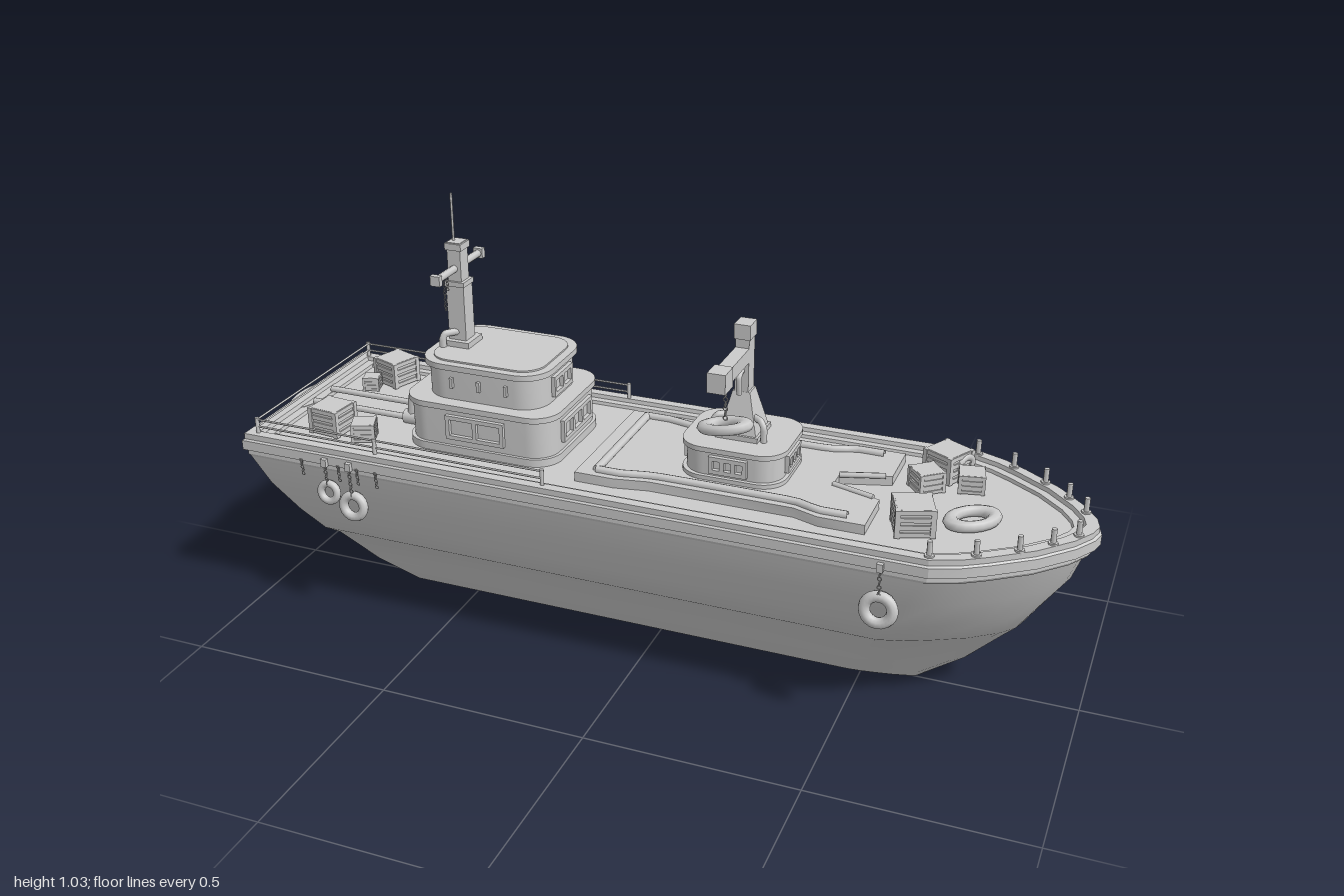
import * as THREE from 'three';
import { toCreasedNormals, mergeVertices } from 'three/addons/utils/BufferGeometryUtils.js';

const mat = new THREE.MeshStandardMaterial({ color: 0xcccccc, side: THREE.DoubleSide });
const V = (x, y, z) => new THREE.Vector3(x, y, z);

function add(parent, name, geo, x = 0, y = 0, z = 0, ry = 0) {
  const m = new THREE.Mesh(geo, mat);
  m.name = name;
  m.position.set(x, y, z);
  m.rotation.y = ry;
  parent.add(m);
  return m;
}
const box = (p, n, w, h, d, x, y, z, ry) => add(p, n, new THREE.BoxGeometry(w, h, d), x, y, z, ry);

// Round bar between two points
function bar(p, name, a, b, r, seg = 8) {
  const m = add(p, name, new THREE.CylinderGeometry(r, r, a.distanceTo(b), seg));
  m.position.copy(a).lerp(b, 0.5);
  m.quaternion.setFromUnitVectors(V(0, 1, 0), b.clone().sub(a).normalize());
  return m;
}
function pipe(p, name, pts, r) {
  return add(p, name, new THREE.TubeGeometry(new THREE.CatmullRomCurve3(pts, false, 'catmullrom', 0.2), 20, r, 8));
}

// Plan outline of the ship: square stern, straight sides, curved bow
const BOW = [[0, 1], [0.2, 0.91], [0.37, 0.79], [0.65, 0.56], [0.87, 0.3], [0.97, 0.12], [1, 0]];
function outline(y, w, stern, start, tip) {
  const side = [[stern, w], [(stern + start) / 2, w], ...BOW.map(([u, f]) => [start + u * (tip - start), w * f])];
  const other = side.slice(0, -1).reverse().map(([x, z]) => [x, -z]);
  return [...side, ...other].map(([x, z]) => V(x, y, z));
}
// Skin a stack of outlines, closing both ends
function loft(rings, crease) {
  const n = rings[0].length, pos = [], idx = [];
  rings.flat().forEach(v => pos.push(v.x, v.y, v.z));
  for (let k = 0; k < rings.length - 1; k++)
    for (let i = 0; i < n; i++) {
      const a = k * n + i, b = k * n + (i + 1) % n;
      idx.push(a, b, b + n, a, b + n, a + n);
    }
  const top = (rings.length - 1) * n;
  for (let i = 1; i < n - 1; i++) idx.push(0, i + 1, i, top, top + i, top + i + 1);
  const g = new THREE.BufferGeometry();
  g.setAttribute('position', new THREE.Float32BufferAttribute(pos, 3));
  g.setIndex(idx);
  return toCreasedNormals(g, crease);
}

function roundRect(w, d, r) {
  const s = new THREE.Shape(), a = w / 2 - r, b = d / 2 - r, q = Math.PI / 2;
  [[a, b], [-a, b], [-a, -b], [a, -b]].forEach(([x, y], i) => s.absarc(x, y, r, i * q, (i + 1) * q));
  return s;
}
// Upright slab from a plan shape
function slab(p, name, shape, h, x, y, z = 0) {
  const g = new THREE.ExtrudeGeometry(shape, { depth: h, bevelEnabled: false, curveSegments: 5 });
  g.rotateX(-Math.PI / 2);
  return add(p, name, toCreasedNormals(g, 0.5), x, y, z);
}
// Raised window frame with panes, facing local +z
function windowFrame(p, w, h, panes, x, y, z, ry) {
  const g = new THREE.Group();
  g.name = 'window';
  const s = new THREE.Shape([[-w, -h], [w, -h], [w, h], [-w, h]].map(([a, b]) => new THREE.Vector2(a / 2, b / 2)));
  const gap = 0.01, pw = (w - gap * (panes + 1)) / panes;
  for (let i = 0; i < panes; i++) {
    const x0 = -w / 2 + gap + i * (pw + gap), y0 = h / 2 - gap;
    s.holes.push(new THREE.Path([[x0, -y0], [x0, y0], [x0 + pw, y0], [x0 + pw, -y0]].map(q => new THREE.Vector2(...q))));
  }
  add(g, 'windowFrame', new THREE.ExtrudeGeometry(s, { depth: 0.01, bevelEnabled: false }));
  g.position.set(x, y, z);
  g.rotation.y = ry;
  p.add(g);
}
function chain(p, a, b, r = 0.005) {
  const n = Math.ceil(a.distanceTo(b) / (r * 2.4));
  for (let i = 0; i < n; i++) {
    const m = add(p, 'chainLink', new THREE.TorusGeometry(r, r * 0.3, 4, 8), 0, 0, 0, i % 2 ? Math.PI / 2 : 0);
    m.position.copy(a).lerp(b, (i + 0.5) / n);
  }
}
// Slatted cargo crate
function crate(p, x, z, s, h, ry) {
  const g = new THREE.Group();
  g.name = 'crate';
  box(g, 'crateCore', s * 0.92, h, s * 0.92, 0, h / 2, 0);
  for (let i = 0; i < 4; i++) box(g, 'crateSlat', s, h * 0.16, s, 0, h * (0.1 + i * 0.27), 0);
  for (const a of [-1, 1]) for (const b of [-1, 1])
    box(g, 'cratePost', s * 0.14, h, s * 0.14, a * s * 0.45, h / 2, b * s * 0.45);
  g.position.set(x, 0.45, z);
  g.rotation.y = ry;
  p.add(g);
}

export function createModel() {
  const root = new THREE.Group(), ship = new THREE.Group();
  root.name = 'cargoShip';
  ship.name = 'ship';
  ship.position.z = -0.007;
  root.add(ship);

  // Hull: height, half width, stern x, bow tip x
  const levels = [[0, 0.035, -0.67, 0.63], [0.08, 0.1, -0.745, 0.74], [0.165, 0.148, -0.82, 0.825],
    [0.19, 0.18, -0.84, 0.85], [0.25, 0.212, -0.885, 0.89], [0.33, 0.247, -0.935, 0.945], [0.41, 0.266, -0.975, 0.973]];
  add(ship, 'hull', loft(levels.map(([y, w, s, t]) => outline(y, w, s, 0.47 + y * 0.5, t)), 0.45));

  // Rubbing strake, bulwark and recessed deck
  const rim = [[0.405, 0.266, 0.015], [0.412, 0.27, 0.01], [0.424, 0.27, 0.01], [0.424, 0.276, 0], [0.448, 0.276, 0],
    [0.452, 0.272, 0.006], [0.466, 0.272, 0.006], [0.466, 0.248, 0.035], [0.456, 0.246, 0.038], [0.456, 0.228, 0.06], [0.448, 0.226, 0.062]];
  add(ship, 'bulwarkAndDeck', loft(rim.map(([y, w, i]) => outline(y, w, -0.985 + i, 0.685 - i * 0.3, 0.998 - i)), 0.3));

  // Railings at the stern half, bollards around the bow
  for (const s of [-1, 1]) {
    for (const x of [-0.95, -0.63, -0.2]) bar(ship, 'railPost', V(x, 0.46, s * 0.255), V(x, 0.505, s * 0.255), 0.005);
    for (const y of [0.482, 0.5]) bar(ship, 'sideRail', V(-0.95, y, s * 0.255), V(-0.2, y, s * 0.255), 0.0025, 6);
    for (const [x, z] of [[0.68, 0.255], [0.77, 0.217], [0.85, 0.165], [0.91, 0.11], [0.955, 0.055]]) {
      bar(ship, 'bowPost', V(x, 0.46, s * z), V(x, 0.502, s * z), 0.006);
      bar(ship, 'bowPostFoot', V(x, 0.46, s * z), V(x, 0.47, s * z), 0.011);
    }
  }
  for (const y of [0.482, 0.5]) bar(ship, 'sternRail', V(-0.95, y, -0.255), V(-0.95, y, 0.255), 0.0025, 6);

  // Stern platform with hanging poles and deck pipes
  add(ship, 'sternPlatform', new THREE.CylinderGeometry(0.085, 0.07, 0.045, 20).scale(0.45, 1, 1), -0.962, 0.435, 0);
  for (const z of [-0.04, 0.04]) {
    bar(ship, 'sternPole', V(-0.968, 0.18, z), V(-0.968, 0.43, z), 0.009);
    bar(ship, 'poleSleeve', V(-0.968, 0.36, z), V(-0.968, 0.42, z), 0.013);
    bar(ship, 'deckPipe', V(-0.93, 0.462, z), V(-0.66, 0.462, z), 0.008);
    bar(ship, 'pipeCoupling', V(-0.67, 0.465, z), V(-0.635, 0.465, z), 0.018, 12);
    pipe(ship, 'riserPipe', [V(-0.65, 0.465, z), V(-0.645, 0.52, z), V(-0.63, 0.535, z), V(-0.58, 0.535, z)], 0.013);
  }

  // Wheelhouse: two rounded storeys with trim bands
  const hx = -0.42;
  slab(ship, 'lowerHouse', roundRect(0.375, 0.295, 0.06), 0.12, hx, 0.445);
  slab(ship, 'lowerHouseFoot', roundRect(0.39, 0.31, 0.065), 0.022, hx, 0.445);
  slab(ship, 'lowerHouseTrim', roundRect(0.39, 0.31, 0.065), 0.014, hx, 0.558);
  slab(ship, 'upperHouse', roundRect(0.305, 0.24, 0.065), 0.09, hx, 0.568);
  slab(ship, 'upperHouseRoof', roundRect(0.325, 0.26, 0.07), 0.014, hx, 0.648);
  slab(ship, 'roofPanel', roundRect(0.285, 0.22, 0.055), 0.005, hx, 0.661);
  for (const s of [-1, 1]) {
    const ry = s > 0 ? 0 : Math.PI;
    windowFrame(ship, 0.15, 0.06, 2, hx, 0.515, s * 0.147, ry);
    for (const x of [-0.49, -0.42, -0.35]) box(ship, 'upperSideLamp', 0.008, 0.025, 0.012, x, 0.615, s * 0.122);
  }
  windowFrame(ship, 0.16, 0.055, 3, hx + 0.187, 0.515, 0, Math.PI / 2);
  windowFrame(ship, 0.1, 0.05, 2, hx + 0.152, 0.61, 0, Math.PI / 2);
  windowFrame(ship, 0.1, 0.05, 1, hx - 0.152, 0.61, 0, -Math.PI / 2);

  // Mast with yard and aerial
  const mast = new THREE.Group();
  mast.name = 'mast';
  mast.position.set(-0.523, 0, 0);
  ship.add(mast);
  box(mast, 'mastLower', 0.045, 0.16, 0.044, 0, 0.74, 0);
  box(mast, 'mastUpper', 0.034, 0.12, 0.038, 0, 0.86, 0);
  box(mast, 'mastCollar', 0.05, 0.012, 0.05, 0, 0.82, 0);
  box(mast, 'mastCap', 0.042, 0.016, 0.045, 0, 0.91, 0);
  box(mast, 'mastFoot', 0.07, 0.02, 0.07, 0, 0.67, 0);
  bar(mast, 'aerial', V(-0.008, 0.91, 0), V(-0.008, 1.033, 0), 0.003, 6);
  bar(mast, 'yard', V(0, 0.857, -0.1), V(0, 0.857, 0.1), 0.009);
  for (const s of [-1, 1]) {
    box(mast, 'yardEnd', 0.024, 0.024, 0.014, 0, 0.857, s * 0.106);
    pipe(mast, 'roofVent', [V(-0.03, 0.66, s * 0.04), V(-0.03, 0.685, s * 0.04), V(-0.025, 0.697, s * 0.035), V(0, 0.7, s * 0.015)], 0.009);
  }
  chain(mast, V(0, 0.85, 0.07), V(0, 0.77, 0.07), 0.0035);
  chain(mast, V(0, 0.85, 0.055), V(0, 0.815, 0.055), 0.0035);

  // Cargo hatch cover with notched front edge and raised lips
  const half = [[-0.155, 0.18], [-0.06, 0.18], [0.02, 0.165], [0.36, 0.165], [0.42, 0.185], [0.525, 0.185], [0.525, 0.06], [0.41, 0.025]];
  const cover = [...half, ...half.slice().reverse().map(([x, z]) => [x, -z])];
  slab(ship, 'hatchCover', new THREE.Shape(cover.map(q => new THREE.Vector2(...q))), 0.026, 0, 0.445);
  for (const s of [-1, 1]) {
    const lip = [[-0.11, 0.155], [-0.05, 0.155], [0.03, 0.14], [0.35, 0.14], [0.41, 0.16], [0.48, 0.16]];
    pipe(ship, 'hatchLip', lip.map(([x, z]) => V(x, 0.474, s * z)), 0.01);
    bar(ship, 'notchLip', V(0.41, 0.472, s * 0.025), V(0.51, 0.472, s * 0.056), 0.007, 6);
  }
  bar(ship, 'hatchEndLip', V(-0.11, 0.474, -0.155), V(-0.11, 0.474, 0.155), 0.01);

  // Crane house, tapered pedestal, post and jib
  const crane = new THREE.Group();
  crane.name = 'crane';
  crane.position.set(0.187, 0, 0);
  ship.add(crane);
  slab(crane, 'craneHouse', roundRect(0.23, 0.2, 0.055), 0.08, 0, 0.465);
  slab(crane, 'craneHouseTrim', roundRect(0.248, 0.218, 0.06), 0.012, 0, 0.54);
  slab(crane, 'craneHouseFoot', roundRect(0.248, 0.218, 0.06), 0.016, 0, 0.465);
  for (let i = 0; i < 4; i++) windowFrame(crane, 0.09, 0.042, 3, [0, 0.115, 0, -0.115][i], 0.51, [0.1, 0, -0.1, 0][i], i * Math.PI / 2);
  add(crane, 'cranePedestal', toCreasedNormals(new THREE.CylinderGeometry(0.029, 0.064, 0.1, 4).rotateY(Math.PI / 4), 0.2), 0, 0.61, 0);
  box(crane, 'pedestalFoot', 0.1, 0.014, 0.1, 0, 0.557, 0);
  box(crane, 'cranePost', 0.032, 0.17, 0.04, 0, 0.735, 0);
  box(crane, 'cranePostCap', 0.038, 0.035, 0.046, 0, 0.803, 0);
  box(crane, 'jib', 0.032, 0.034, 0.15, 0, 0.748, 0.085);
  box(crane, 'jibHead', 0.042, 0.046, 0.05, 0, 0.748, 0.167);
  for (const s of [-1, 1]) {
    pipe(crane, 'cranePipe', [V(s * 0.06, 0.55, 0.035), V(s * 0.06, 0.585, 0.035), V(s * 0.05, 0.6, 0.03), V(s * 0.02, 0.6, 0.01)], 0.008);
    pipe(crane, 'postPipe', [V(0, 0.66, s * 0.035), V(0, 0.7, s * 0.04), V(0, 0.71, s * 0.03), V(0, 0.71, 0)], 0.007);
  }
  chain(crane, V(0, 0.735, 0.127), V(0, 0.635, 0.127));
  const load = add(crane, 'hangingFloat', new THREE.TorusGeometry(0.03, 0.013, 8, 20).rotateX(Math.PI / 2).scale(1.55, 1, 0.9), 0, 0.622, 0.127);
  load.rotation.z = 0.18;

  // Deck cargo: x, z, size, height, turn
  [[-0.815, -0.17, 0.08, 0.066, -0.35], [-0.85, -0.105, 0.04, 0.035, 0.3], [-0.81, 0.145, 0.08, 0.066, -0.1], [-0.715, 0.16, 0.055, 0.045, 0.4],
    [0.63, -0.155, 0.08, 0.066, -0.5], [0.6, -0.07, 0.062, 0.05, 0.7], [0.695, -0.105, 0.058, 0.045, 0.2], [0.615, 0.125, 0.085, 0.066, 0.35],
  ].forEach(c => crate(ship, ...c));
  add(ship, 'deckFloat', new THREE.TorusGeometry(0.04, 0.014, 8, 20).rotateX(Math.PI / 2).scale(1.3, 1, 0.85), 0.73, 0.462, 0.055, 0.75);
  const leaning = add(ship, 'leaningTyre', new THREE.TorusGeometry(0.022, 0.01, 8, 16), 0.668, 0.482, -0.155, Math.PI / 2 - 0.5);
  leaning.rotation.x = 0.1;

  // Tyre fenders on chains along the left side
  for (const [x, y, r] of [[-0.755, 0.35, 0.022], [-0.69, 0.325, 0.027], [0.585, 0.325, 0.031]]) {
    const t = add(ship, 'tyreFender', new THREE.TorusGeometry(r, r * 0.42, 10, 20), x, y, 0.272);
    t.rotation.x = -0.12;
    chain(ship, V(x, 0.43, 0.28), V(x, y + r, 0.276), 0.0045);
    box(ship, 'fenderHook', 0.014, 0.02, 0.014, x, 0.432, 0.279);
  }
  for (const x of [-0.82, -0.72, -0.67, -0.62]) chain(ship, V(x, 0.43, 0.279), V(x, 0.385, 0.274), 0.004);
  return root;
}
